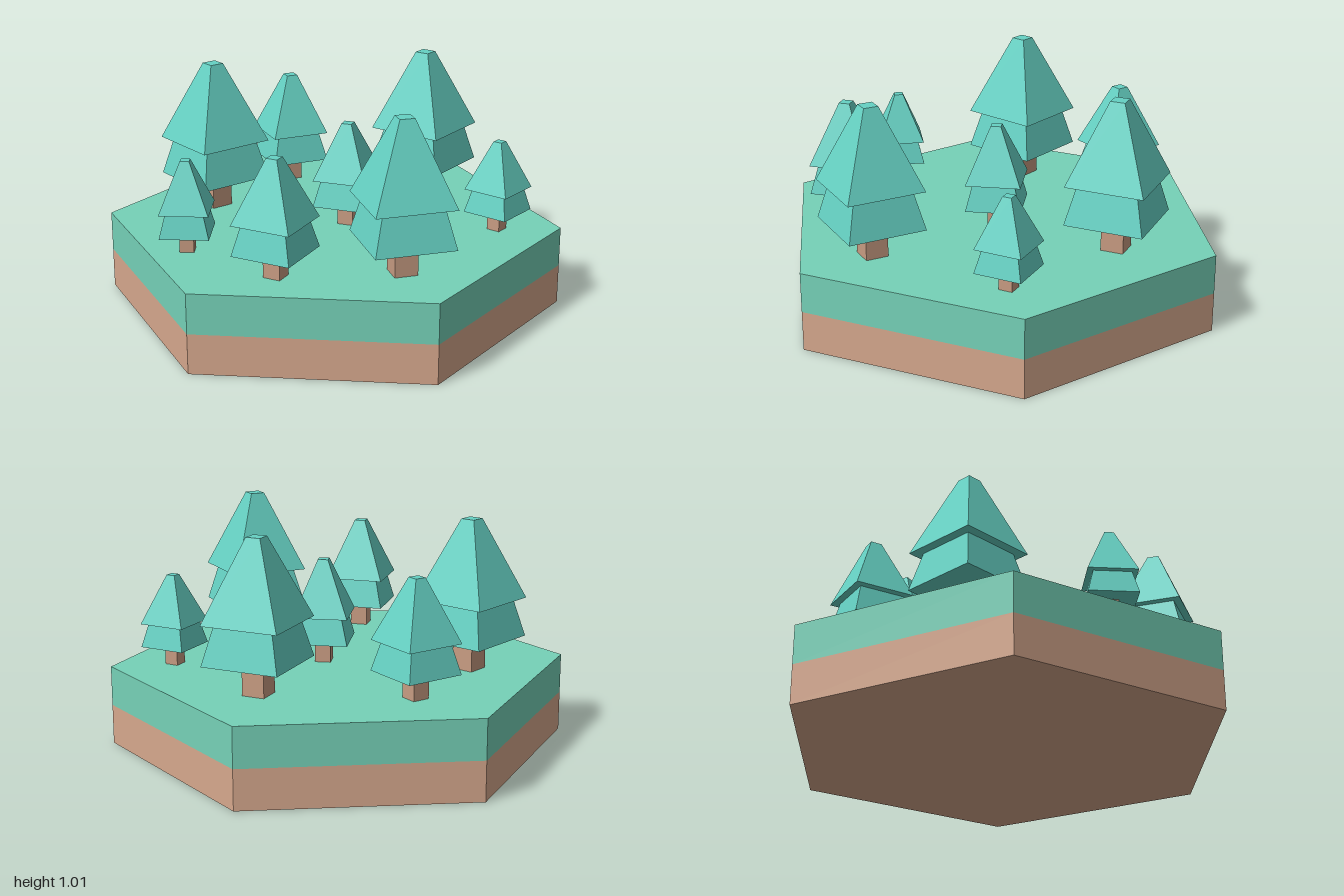
import * as THREE from 'three';

const material = (color) => new THREE.MeshStandardMaterial({ color, flatShading: true });
const grass = material(0x76d2b8);
const soil = material(0xd6a88d);
const bark = material(0xc89c82);
const foliage = material(0x66d2c4);

const GROUND = 0.35;

function addMesh(parent, name, geometry, mat, y) {
  const mesh = new THREE.Mesh(geometry, mat);
  mesh.name = name;
  mesh.position.y = y;
  parent.add(mesh);
}

// Four-sided frustum with its sides facing the axes, standing on y = 0
function frustum(topWidth, bottomWidth, height) {
  return new THREE.CylinderGeometry(topWidth * Math.SQRT1_2, bottomWidth * Math.SQRT1_2, height, 4)
    .rotateY(Math.PI / 4)
    .translate(0, height / 2, 0);
}

const trunkGeometry = frustum(0.1, 0.1, 0.14);
const lowerGeometry = frustum(0.262, 0.345, 0.17);
const upperGeometry = frustum(0.064, 0.345, 0.35);

function createTree(x, z, degrees, scale) {
  const tree = new THREE.Group();
  tree.name = 'tree';
  addMesh(tree, 'trunk', trunkGeometry, bark, 0);
  addMesh(tree, 'lowerFoliage', lowerGeometry, foliage, 0.14);
  addMesh(tree, 'upperFoliage', upperGeometry, foliage, 0.31);
  tree.position.set(x, GROUND, z);
  tree.rotation.y = THREE.MathUtils.degToRad(degrees);
  tree.scale.setScalar(scale);
  return tree;
}

export function createModel() {
  const model = new THREE.Group();
  model.name = 'forestTile';

  // Hexagonal ground in two layers, points towards front and back
  const layer = new THREE.CylinderGeometry(1, 1, GROUND / 2, 6);
  addMesh(model, 'soilLayer', layer, soil, GROUND / 4);
  addMesh(model, 'grassLayer', layer, grass, GROUND * 0.75);

  // Trees: x, z, turn in degrees, scale
  const trees = [
    [0.097, -0.588, 0, 1],
    [-0.56, 0.13, -16, 1],
    [0.575, 0.32, -38, 1],
    [-0.51, -0.37, -31, 0.765],
    [0.18, 0.65, 8.5, 0.765],
    [0.065, -0.02, 16, 0.695],
    [0.64, -0.333, -3, 0.605],
    [-0.293, 0.642, 32.5, 0.605],
  ];
  for (const tree of trees) model.add(createTree(...tree));

  return model;
}
